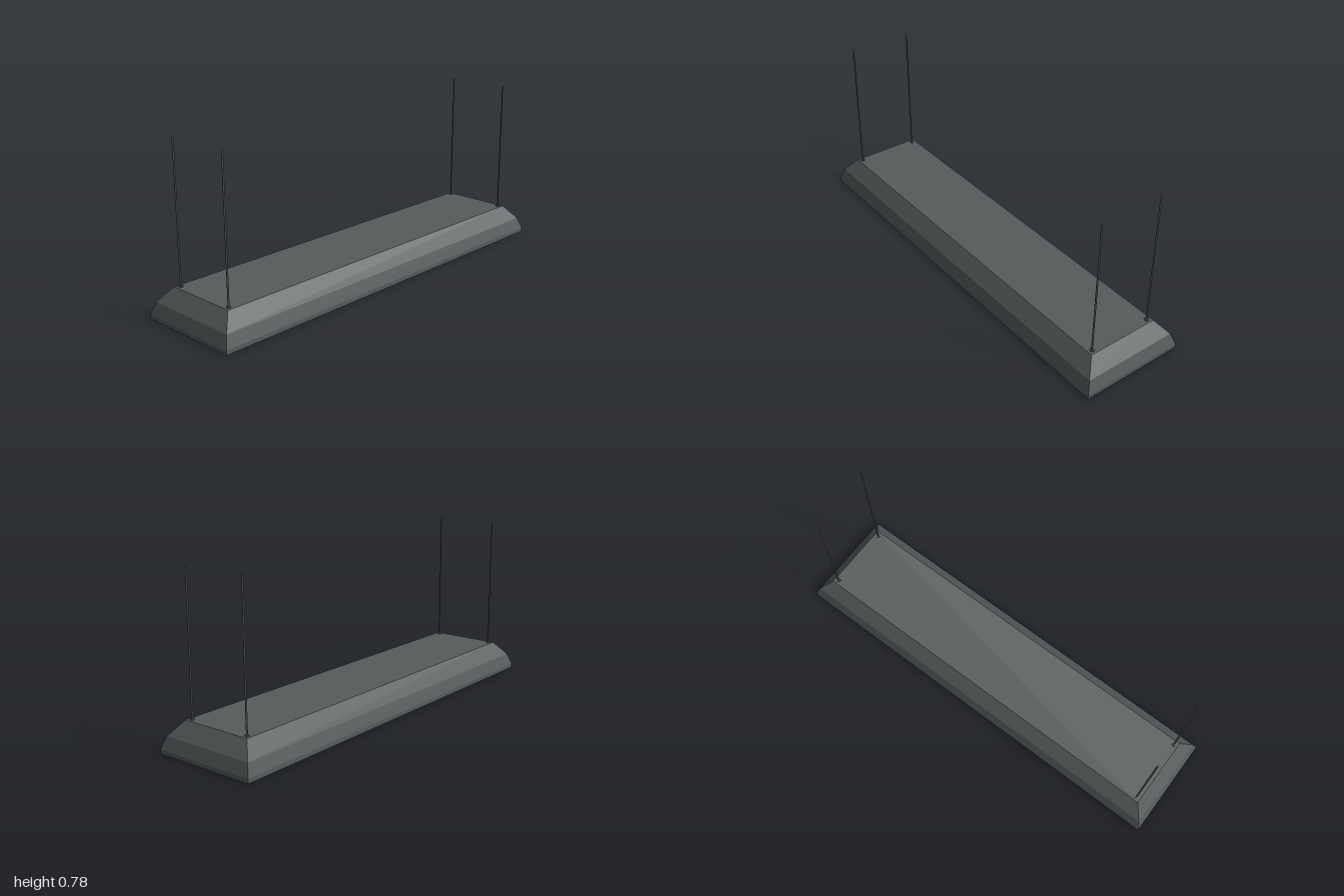
import * as THREE from 'three';

const bodyMat = new THREE.MeshStandardMaterial({ color: 0x555b5b });
bodyMat.name = 'dark grey metal';
const panelMat = new THREE.MeshStandardMaterial({ color: 0xd2d2d2 });
panelMat.name = 'pale diffuser';

// Flat-shaded skin over rectangular rings [half width, half length, y], listed from the top down and inward
function rectLoft(rings) {
  const corners = [[1, 1], [1, -1], [-1, -1], [-1, 1]];
  const point = (r, i) => [r[0] * corners[i % 4][0], r[2], r[1] * corners[i % 4][1]];
  const pos = [];
  for (let k = 0; k < rings.length - 1; k++) {
    const up = rings[k], low = rings[k + 1];
    for (let i = 0; i < 4; i++) {
      const a = point(low, i), b = point(low, i + 1), c = point(up, i + 1), d = point(up, i);
      pos.push(...a, ...b, ...c, ...a, ...c, ...d);
    }
  }
  const geo = new THREE.BufferGeometry();
  geo.setAttribute('position', new THREE.Float32BufferAttribute(pos, 3));
  geo.computeVertexNormals();
  return geo;
}

export function createModel() {
  const model = new THREE.Group();
  model.name = 'hangingLamp';

  const add = (name, geo, mat, x = 0, y = 0, z = 0) => {
    const mesh = new THREE.Mesh(geo, mat);
    mesh.name = name;
    mesh.position.set(x, y, z);
    model.add(mesh);
  };

  // Housing: top, two bevels, upright rim, lip and recessed underside
  add('housing', rectLoft([[0.175, 0.925, 0.142], [0.23, 0.98, 0.075], [0.25, 1, 0.02],
    [0.25, 1, 0], [0.225, 0.975, 0], [0.225, 0.975, 0.02]]), bodyMat);
  const top = new THREE.PlaneGeometry(0.35, 1.85).rotateX(-Math.PI / 2);
  add('housingTop', top, bodyMat, 0, 0.142, 0);
  const underside = new THREE.PlaneGeometry(0.45, 1.95).rotateX(Math.PI / 2);
  add('recessFace', underside, bodyMat, 0, 0.02, 0);

  // Light panel set in the recess
  add('lightPanel', new THREE.BoxGeometry(0.345, 0.004, 1.84), panelMat, 0, 0.019, 0);

  // Four hanging rods with collars
  const rod = new THREE.CylinderGeometry(0.004, 0.004, 0.638, 12);
  const collar = new THREE.CylinderGeometry(0.01, 0.01, 0.006, 16);
  for (const sx of [-1, 1]) {
    for (const sz of [-1, 1]) {
      add('hangingRod', rod, bodyMat, sx * 0.155, 0.461, sz * 0.905);
      add('rodCollar', collar, bodyMat, sx * 0.155, 0.144, sz * 0.905);
    }
  }
  return model;
}
